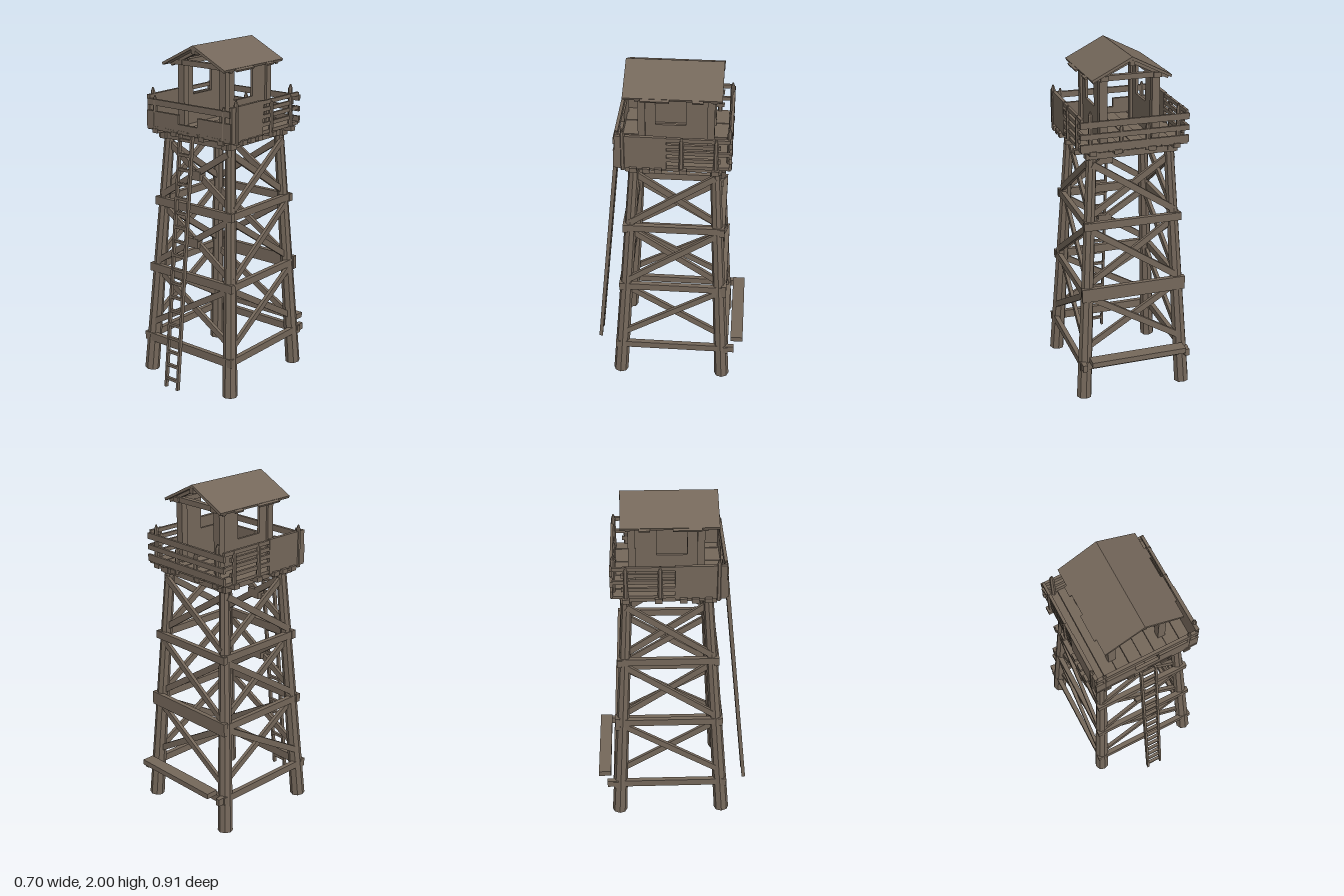
import * as THREE from 'three';

export function createModel() {
  const tower = new THREE.Group();
  tower.name = 'watchtower';
  const wood = new THREE.MeshStandardMaterial({ color: 0x74675a, flatShading: true });
  wood.name = 'weathered wood';

  const V = (x, y, z) => new THREE.Vector3(x, y, z);
  const add = (name, geo) => {
    const m = new THREE.Mesh(geo, wood);
    m.name = name;
    tower.add(m);
    return m;
  };
  // Axis-aligned board given by its extents
  const board = (name, x0, x1, y0, y1, z0, z1) =>
    add(name, new THREE.BoxGeometry(x1 - x0, y1 - y0, z1 - z0))
      .position.set((x0 + x1) / 2, (y0 + y1) / 2, (z0 + z1) / 2);
  // Squared timber from a to b: w across, h upright
  const beam = (name, a, b, w, h) => {
    const m = add(name, new THREE.BoxGeometry(w, h, a.distanceTo(b)));
    m.position.copy(a).lerp(b, 0.5);
    m.lookAt(b);
    return m;
  };
  // Round log from a to b
  const log = (name, a, b, r0, r1, sides = 8) => {
    const m = add(name, new THREE.CylinderGeometry(r1, r0, a.distanceTo(b), sides));
    m.position.copy(a).lerp(b, 0.5);
    m.quaternion.setFromUnitVectors(V(0, 1, 0), b.clone().sub(a).normalize());
  };

  // Centre line of each leaning leg at height y
  const legX = (y) => 0.305 - 0.055 * y;
  const legZ = (s, y) => (s > 0 ? 0.284 - 0.069 * y : -0.338 + 0.052 * y);

  for (const sx of [-1, 1]) for (const sz of [-1, 1]) {
    log('leg', V(sx * legX(0), 0.004, legZ(sz, 0)), V(sx * legX(1.48), 1.48, legZ(sz, 1.48)), 0.044, 0.029);
  }

  // Horizontal girts around the legs
  const levels = [0.22, 0.66, 1.07];
  levels.forEach((y, i) => {
    const hx = legX(y) + 0.04;
    const zf = legZ(1, y), zb = legZ(-1, y);
    beam('frontGirt', V(-hx, y, zf + 0.026), V(hx, y, zf + 0.026), 0.028, 0.05);
    beam('backGirt', V(-hx, y - 0.005, zb - 0.03), V(hx, y - 0.005, zb - 0.03), 0.028, i === 1 ? 0.08 : 0.045);
    for (const s of [-1, 1]) {
      const x = s * (legX(y) + 0.02);
      beam('sideGirt', V(x, y, zf + 0.035), V(x, y, zb - (i === 0 ? 0.08 : 0.04)), 0.028, 0.042);
    }
  });
  // Loose plank resting on the lowest girts
  board('backPlank', -0.284, 0.284, 0.25, 0.282, -0.458, -0.385);

  // Cross bracing, three bays on each face
  const bays = [[0.31, 0.64], [0.7, 1.04], [1.11, 1.42]];
  bays.forEach(([y0, y1]) => {
    for (const d of [-1, 1]) {
      const out = d > 0 ? 0.022 : 0;
      for (const sz of [-1, 1]) {
        beam('crossBrace',
          V(-d * legX(y0), y0, legZ(sz, y0) + sz * out),
          V(d * legX(y1), y1, legZ(sz, y1) + sz * out), 0.02, 0.036);
      }
      for (const sx of [-1, 1]) {
        beam('sideBrace',
          V(sx * (legX(y0) + out), y0, legZ(d, y0)),
          V(sx * (legX(y1) + out), y1, legZ(-d, y1)), 0.02, 0.036);
      }
    }
    // Plate where the front braces cross
    if (y0 > 0.5) {
      const yc = (y0 + y1) / 2;
      board('bracePlate', -0.042, 0.042, yc - 0.027, yc + 0.027, legZ(1, yc) - 0.012, legZ(1, yc) + 0.034);
    }
  });

  // Ladder
  const foot = V(0, 0.02, 0.445), head = V(0, 1.51, 0.296);
  for (const s of [-1, 1]) {
    const off = V(s * 0.044, 0, 0);
    beam('ladderRail', foot.clone().add(off), head.clone().add(off), 0.013, 0.022);
  }
  for (let i = 0; i < 18; i++) {
    const p = foot.clone().lerp(head, (i + 0.65) / 18);
    board('ladderRung', -0.044, 0.044, p.y - 0.008, p.y + 0.008, p.z - 0.009, p.z + 0.009);
  }

  // Platform: bearers, joists and floorboards
  for (const z of [0.205, -0.27]) board('bearer', -0.265, 0.265, 1.45, 1.485, z - 0.025, z + 0.025);
  for (const x of [-0.225, 0.225]) board('sideBearer', x - 0.02, x + 0.02, 1.45, 1.485, -0.3, 0.245);
  for (const z of [-0.265, -0.09, 0.045, 0.11, 0.18]) {
    board('joist', -0.325, 0.325, 1.483, 1.51, z - 0.02, z + 0.02);
  }
  for (const x of [-0.24, -0.1, 0.1, 0.24]) board('joistEnd', x - 0.02, x + 0.02, 1.487, 1.512, -0.352, 0.292);
  for (let i = 0; i < 8; i++) {
    const x = -0.304 + i * 0.076;
    board('floorBoard', x + 0.001, x + 0.075, 1.505, 1.522 + (i % 2) * 0.003, -0.345, 0.287);
  }

  // Parapet posts with pointed tops
  const post = (x, z, top) => {
    log('railPost', V(x, 1.49, z), V(x, top - 0.025, z), 0.014, 0.013, 6);
    log('postTip', V(x, top - 0.025, z), V(x, top, z), 0.013, 0.004, 6);
  };
  for (const s of [-1, 1]) {
    post(s * 0.302, 0.235, 1.735);
    post(s * 0.302, -0.08, 1.70);
    post(s * 0.302, -0.265, 1.70);
    post(s * 0.25, 0.275, 1.70);
    post(s * 0.25, -0.335, 1.735);
    post(s * 0.075, -0.335, 1.65);
    // Solid front half and open rails on each side
    const x = s * 0.298;
    board('sidePanel', x - 0.01, x + 0.01, 1.50, 1.70, 0, 0.278);
    [1.685, 1.645, 1.605, 1.56].forEach((y, i) =>
      board('sideRail', x - 0.008, x + 0.008, y - 0.011, y + 0.011, i % 2 ? -0.29 : -0.34, 0.005));
    // Front boarding either side of the ladder opening
    const a = s * 0.07, b = s * 0.305;
    board('frontPanel', Math.min(a, b), Math.max(a, b), 1.52, 1.612, 0.268, 0.286);
  }
  board('frontSill', -0.07, 0.07, 1.52, 1.56, 0.268, 0.286);
  board('frontRail', -0.3, 0.3, 1.645, 1.68, 0.268, 0.286);
  board('backRail', -0.31, 0.31, 1.645, 1.68, -0.35, -0.335);
  board('backMidRail', -0.31, 0.31, 1.583, 1.612, -0.35, -0.335);
  board('backKickBoard', -0.31, 0.31, 1.515, 1.555, -0.35, -0.335);

  // Cabin: side walls with a window, corner posts and wall plates
  for (const s of [-1, 1]) {
    const x = s * 0.15;
    const wall = (z0, z1, y0, y1) => board('cabinWall', x - 0.008, x + 0.008, y0, y1, z0, z1);
    wall(0.07, 0.15, 1.52, 1.88);
    wall(-0.235, -0.095, 1.52, 1.88);
    wall(-0.095, 0.07, 1.52, 1.69);
    for (const z of [0.145, -0.23]) board('cornerPost', x - 0.022, x + 0.022, 1.52, 1.885, z - 0.02, z + 0.02);
    board('wallPlate', x - 0.022, x + 0.022, 1.872, 1.9, -0.275, 0.185);
  }

  // Gable frames under the roof
  for (const z of [0.165, -0.25]) {
    board('tieBeam', -0.185, 0.185, 1.872, 1.902, z - 0.015, z + 0.015);
    for (const s of [-1, 1]) beam('rafter', V(0, 1.972, z), V(s * 0.215, 1.869, z), 0.025, 0.02);
  }
  board('ridgeBeam', -0.014, 0.014, 1.952, 1.982, -0.292, 0.235);

  // Gabled roof
  const gable = new THREE.Shape([[-0.226, 1.886], [0, 2], [0.226, 1.886], [0.22, 1.872], [0, 1.983], [-0.22, 1.872]]
    .map(([x, y]) => new THREE.Vector2(x, y)));
  add('roof', new THREE.ExtrudeGeometry(gable, { depth: 0.53, bevelEnabled: false })).position.z = -0.29;
  // Uneven eave boards
  for (const s of [-1, 1]) for (const [z0, z1] of [[-0.19, -0.13], [-0.01, 0.145]]) {
    const m = beam('eaveBoard', V(s * 0.19, 1.895, (z0 + z1) / 2), V(s * 0.236, 1.872, (z0 + z1) / 2), z1 - z0, 0.012);
    m.updateMatrix();
  }
  return tower;
}
